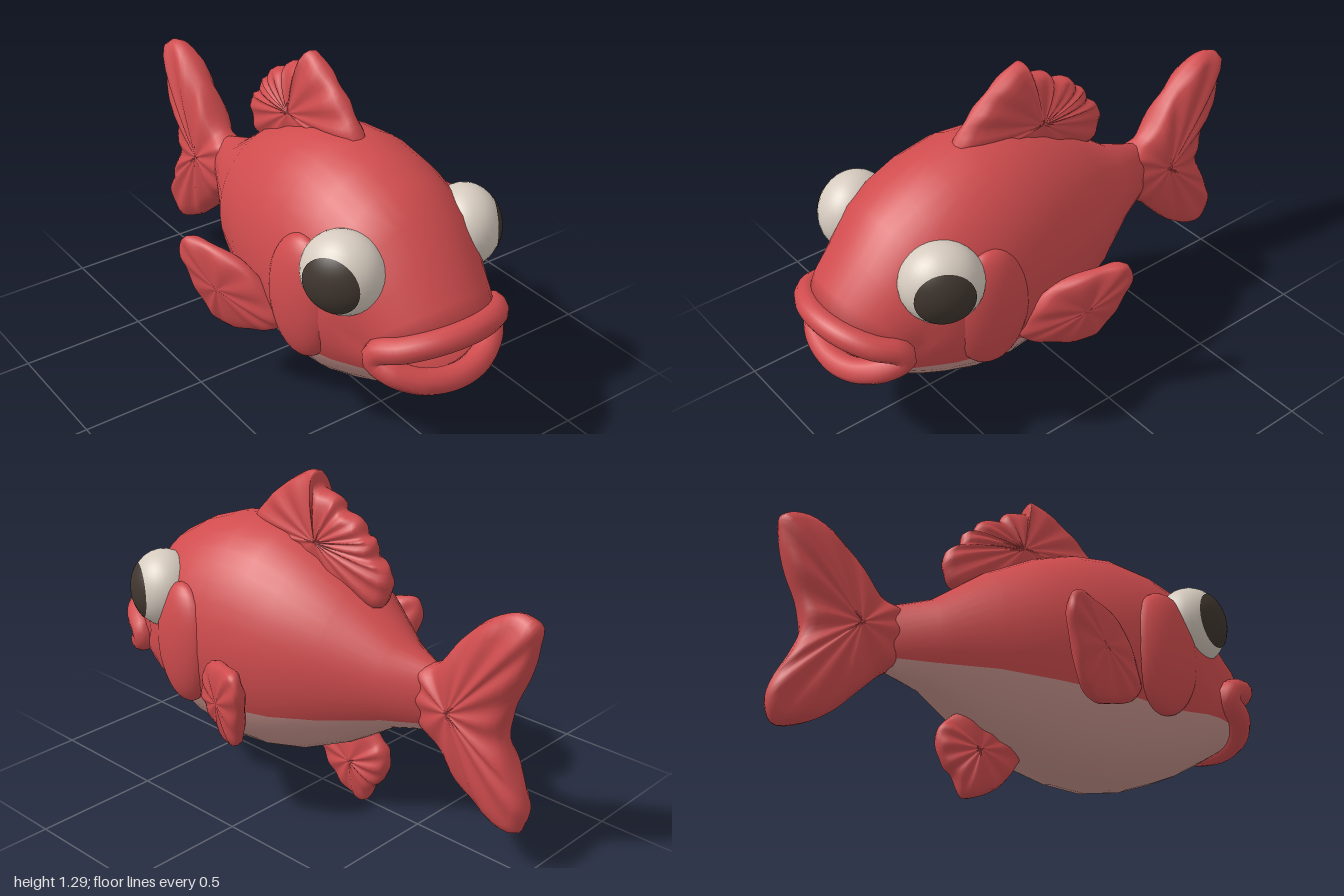
import * as THREE from 'three';

const mat = (name, color) => Object.assign(new THREE.MeshStandardMaterial({ color }), { name });

// Skin closed rings of points; quads chosen by isAlt go to a second material group.
function loft(rings, isAlt = () => false) {
  const n = rings[0].length, main = [], alt = [];
  for (let i = 0; i < rings.length - 1; i++) {
    for (let j = 0; j < n; j++) {
      const k = (j + 1) % n;
      const a = i * n + j, b = i * n + k, c = a + n, d = b + n;
      (isAlt(i, j) ? alt : main).push(a, b, c, b, d, c);
    }
  }
  const g = new THREE.BufferGeometry();
  g.setAttribute('position', new THREE.Float32BufferAttribute(rings.flat(2), 3));
  g.setIndex([...main, ...alt]);
  g.addGroup(0, main.length, 0);
  if (alt.length) g.addGroup(main.length, alt.length, 1);
  g.computeVertexNormals();
  return g;
}

// Puffy fin from a side outline of [z, y] points, swollen around a centre, with soft ribs.
function finGeometry(outline, [cz, cy], thick, ribs, shift = () => 0) {
  const curve = new THREE.CatmullRomCurve3(outline.map(([z, y]) => new THREE.Vector3(0, y, z)), true);
  const edge = curve.getPoints(80).slice(0, 80);
  const rings = [];
  for (let i = 0; i <= 14; i++) {
    const phi = Math.PI * i / 14, s = Math.sin(phi), c = Math.cos(phi);
    const puff = Math.sign(c) * Math.pow(Math.abs(c), 0.65) * thick;
    rings.push(edge.map((p, j) => {
      const y = cy + (p.y - cy) * s, z = cz + (p.z - cz) * s;
      const rib = 1 + 0.16 * s * Math.cos(j / 80 * Math.PI * 2 * ribs);
      return [puff * rib + shift(y, z), y, z];
    }));
  }
  return loft(rings);
}

// Body stations: z, top, bottom, half width, height of widest point, belly line,
// forward bulge above, forward bulge below. The last ones fold into the mouth.
const STATIONS = [
  [-0.62, 0.62, 0.52, 0.02, 0.57, 0.54, 0, 0],
  [-0.55, 0.70, 0.43, 0.07, 0.57, 0.47, 0, 0],
  [-0.40, 0.75, 0.39, 0.15, 0.58, 0.455, 0, 0],
  [-0.20, 0.90, 0.26, 0.265, 0.59, 0.425, 0, 0],
  [0.00, 1.005, 0.165, 0.335, 0.59, 0.395, 0, 0],
  [0.15, 1.055, 0.125, 0.362, 0.59, 0.38, 0, 0],
  [0.30, 1.068, 0.113, 0.378, 0.59, 0.37, 0, 0],
  [0.45, 1.04, 0.14, 0.372, 0.585, 0.36, 0, 0],
  [0.57, 0.99, 0.19, 0.35, 0.58, 0.375, 0.01, 0.01],
  [0.62, 0.92, 0.235, 0.325, 0.56, 0.39, 0.08, 0.06],
  [0.67, 0.79, 0.295, 0.295, 0.53, 0.40, 0.13, 0.11],
  [0.71, 0.69, 0.34, 0.268, 0.51, 0.405, 0.19, 0.14],
  [0.74, 0.585, 0.385, 0.26, 0.495, 0.405, 0.205, 0.175],
  [0.70, 0.53, 0.44, 0.20, 0.49, 0.47, 0.12, 0.10],
  [0.60, 0.495, 0.485, 0.0, 0.49, 0.487, 0, 0],
];
const MOUTH = 12, BACK_STEPS = 26, BELLY_STEPS = 14;

function bodyRing([z, top, bottom, w, mid, belly, up, low]) {
  const line = Math.asin((mid - belly) / (mid - bottom));
  const ring = [];
  const add = (a) => {
    const s = Math.sin(a);
    ring.push([
      w * Math.cos(a),
      mid + s * (s > 0 ? top - mid : mid - bottom),
      z + Math.abs(s) * (s > 0 ? up : low),
    ]);
  };
  for (let j = 0; j < BACK_STEPS; j++) add(-line + (Math.PI + 2 * line) * j / BACK_STEPS);
  for (let j = 0; j < BELLY_STEPS; j++) add(Math.PI + line + (Math.PI - 2 * line) * j / BELLY_STEPS);
  return ring;
}

export function createModel() {
  const red = mat('red skin', 0xd04c4e);
  const cream = mat('pale belly', 0xcb968f);
  const white = mat('eye white', 0xd6cbbf);
  const dark = mat('pupil', 0x40362f);
  const model = new THREE.Group();
  model.name = 'fish';
  const add = (name, geometry, material, parent = model) => {
    const m = new THREE.Mesh(geometry, material);
    m.name = name;
    parent.add(m);
    return m;
  };

  // Body with pale belly and hollow mouth
  const rings = STATIONS.map(bodyRing);
  add('body', loft(rings, (i, j) => i > 0 && i < MOUTH && j >= BACK_STEPS), [red, cream]);

  // Lips around the mouth opening
  const lipPath = new THREE.CatmullRomCurve3(
    rings[MOUTH].filter((p, j) => j % 2 === 0).map((p) => new THREE.Vector3(...p)), true);
  add('lips', new THREE.TubeGeometry(lipPath, 64, 0.048, 12, true), red);

  // Tail fin
  add('tailFin', finGeometry([
    [-0.45, 0.57], [-0.47, 0.66], [-0.53, 0.69], [-0.60, 0.73], [-0.70, 0.86], [-0.80, 0.95], [-0.92, 1.0],
    [-0.99, 0.97], [-0.99, 0.89], [-0.95, 0.75], [-0.90, 0.62], [-0.885, 0.53], [-0.92, 0.43],
    [-0.97, 0.33], [-0.99, 0.25], [-0.96, 0.16], [-0.85, 0.18], [-0.75, 0.24], [-0.65, 0.34],
    [-0.57, 0.42], [-0.48, 0.48],
  ], [-0.68, 0.57], 0.085, 12), red);

  // Dorsal fin with stepped back edge
  add('dorsalFin', finGeometry([
    [0.36, 1.0], [0.33, 1.07], [0.25, 1.16], [0.15, 1.24], [0.03, 1.295], [0.01, 1.235],
    [-0.08, 1.215], [-0.11, 1.17], [-0.19, 1.15], [-0.22, 1.10], [-0.26, 1.08], [-0.27, 1.03],
    [-0.325, 0.99], [-0.34, 0.92], [-0.30, 0.84], [-0.15, 0.84], [0.1, 0.93],
  ], [-0.02, 1.04], 0.068, 16), red);

  // Fin under the belly
  add('analFin', finGeometry([
    [0, 0.22], [-0.05, 0.32], [-0.2, 0.36], [-0.31, 0.29], [-0.345, 0.24], [-0.34, 0.17],
    [-0.31, 0.11], [-0.275, 0.075], [-0.24, 0.005], [-0.18, 0.015], [-0.1, 0.06], [-0.04, 0.13],
  ], [-0.19, 0.18], 0.055, 10), red);

  const pectoral = [
    [0.32, 0.4], [0.28, 0.5], [0.2, 0.6], [0.05, 0.65], [-0.05, 0.65], [-0.075, 0.57],
    [-0.04, 0.45], [0.015, 0.33], [0.08, 0.29], [0.18, 0.31], [0.28, 0.35],
  ];
  const eyeBall = new THREE.SphereGeometry(0.155, 32, 20);
  const pupilCap = new THREE.SphereGeometry(0.158, 32, 10, 0, Math.PI * 2, 0, 0.76).rotateX(Math.PI / 2);

  for (const side of [1, -1]) {
    const name = side > 0 ? 'left' : 'right';

    // Side fin, splayed outward to the back
    add(name + 'PectoralFin', finGeometry(pectoral, [0.1, 0.48], 0.05, 9,
      (y, z) => side * (0.425 - 0.39 * (z - 0.1) + 0.14 * (y - 0.48))), red);

    // Gill cover
    const gill = add(name + 'GillCover', new THREE.SphereGeometry(1, 28, 20), red);
    gill.scale.set(0.085, 0.25, 0.155);
    gill.position.set(side * 0.32, 0.58, 0.435);
    gill.rotation.y = -side * 0.14;

    // Bulging eye looking outward and forward
    const eye = new THREE.Group();
    eye.name = name + 'Eye';
    eye.position.set(side * 0.272, 0.75, 0.605);
    eye.rotation.y = side * 1.08;
    eye.scale.z = 0.86;
    add(name + 'EyeWhite', eyeBall, white, eye);
    add(name + 'Pupil', pupilCap, dark, eye);
    model.add(eye);
  }
  return model;
}
